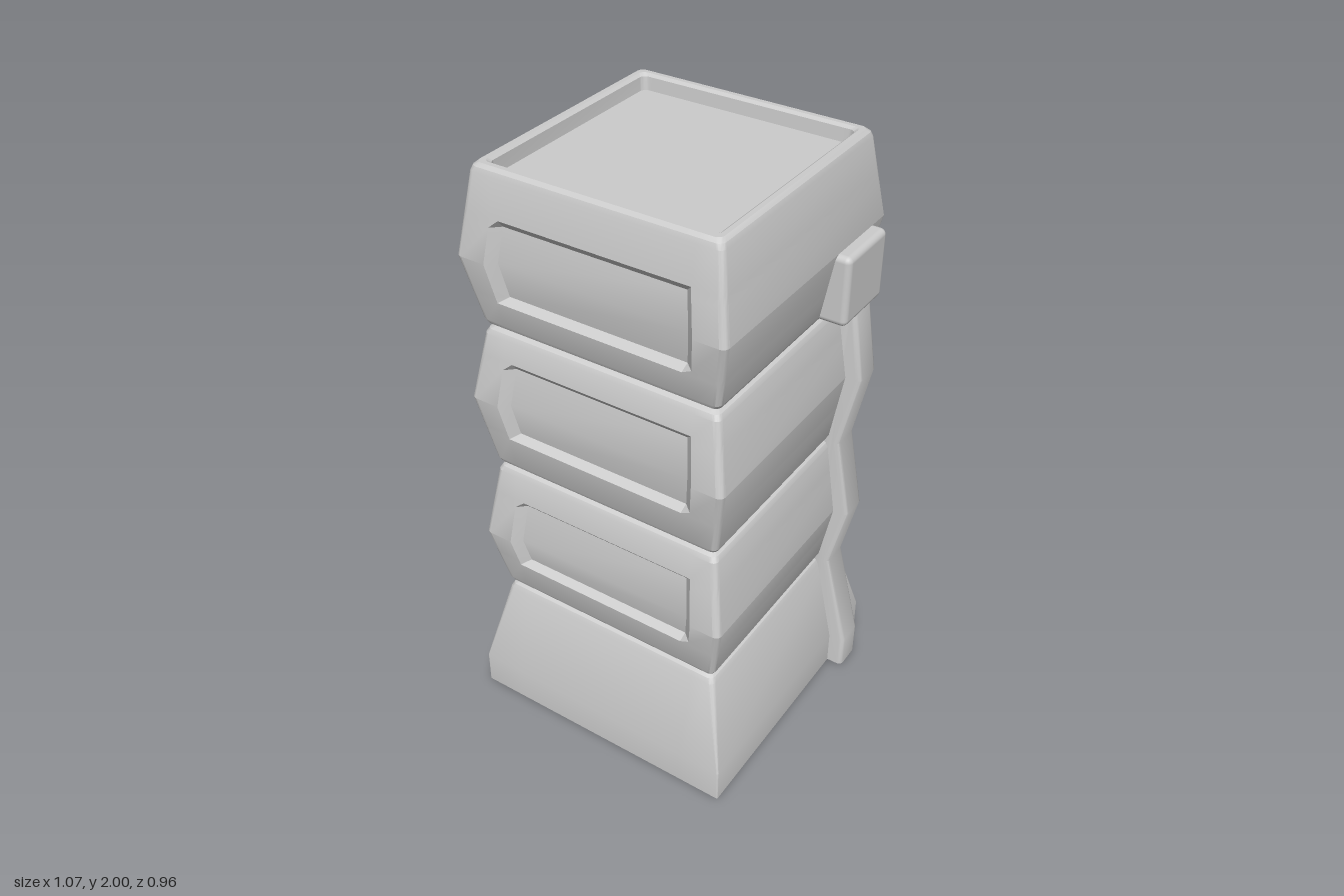
import * as THREE from 'three';
import { RoundedBoxGeometry } from 'three/addons/geometries/RoundedBoxGeometry.js';
import { toCreasedNormals } from 'three/addons/utils/BufferGeometryUtils.js';

const material = new THREE.MeshStandardMaterial({ color: 0xcccccc });

function addMesh(parent, name, geometry) {
  const mesh = new THREE.Mesh(geometry, material);
  mesh.name = name;
  parent.add(mesh);
  return mesh;
}

// One square ring with rounded corners; the front and back edges can be sunk between +-xo
function squareRing({ y, w, r = 0.02, xo = 0.33, depth = 0 }) {
  const points = [];
  const steps = 5;
  const corner = (sx, sz, start) => {
    for (let i = 0; i <= steps; i++) {
      const a = start + (i / steps) * Math.PI / 2;
      points.push([sx * (w - r) + r * Math.cos(a), y, sz * (w - r) - r * Math.sin(a)]);
    }
  };
  const face = (s) => {
    const xi = xo - 0.03;
    points.push([-s * xo, y, s * w], [-s * xi, y, s * (w - depth)],
      [s * xi, y, s * (w - depth)], [s * xo, y, s * w]);
  };
  face(1);
  corner(1, 1, -Math.PI / 2);
  corner(1, -1, 0);
  face(-1);
  corner(-1, -1, Math.PI / 2);
  corner(-1, 1, Math.PI);
  return points;
}

// Closed skin over a stack of rings
function loft(rows) {
  const rings = rows.map(squareRing);
  const n = rings[0].length;
  const last = rows.length - 1;
  const positions = rings.flat(2);
  const index = [];
  for (let i = 0; i < last; i++) {
    for (let j = 0; j < n; j++) {
      const k = (j + 1) % n;
      const a = i * n + j, b = i * n + k;
      index.push(a, b, b + n, a, b + n, a + n);
    }
  }
  const bottom = positions.length / 3;
  positions.push(0, rows[0].y, 0, 0, rows[last].y, 0);
  for (let j = 0; j < n; j++) {
    const k = (j + 1) % n;
    index.push(bottom, k, j, bottom + 1, last * n + j, last * n + k);
  }
  const geometry = new THREE.BufferGeometry();
  geometry.setAttribute('position', new THREE.Float32BufferAttribute(positions, 3));
  geometry.setIndex(index);
  return toCreasedNormals(geometry, 0.35);
}

// Rows of a bulging section with a sunken window in front and back
function sectionRows(y0, mid, y1, windowBottom, windowTop) {
  const wide = 0.45, narrow = 0.41;
  const width = (y) => (y < mid
    ? THREE.MathUtils.mapLinear(y, y0 + 0.025, mid, narrow, wide)
    : THREE.MathUtils.mapLinear(y, mid, y1 - 0.025, wide, narrow));
  const row = (y, xo, depth) => ({ y, w: width(y), xo, depth });
  return [
    { y: y0, w: 0.388 },
    { y: y0 + 0.01, w: 0.402 },
    row(y0 + 0.025, 0.33, 0),
    row(windowBottom, 0.33, 0),
    row(windowBottom + 0.018, 0.333, 0.028),
    row(mid, 0.348, 0.028),
    row(windowTop - 0.028, 0.333, 0.028),
    row(windowTop, 0.33, 0),
    row(y1 - 0.025, 0.33, 0),
    { y: y1 - 0.01, w: 0.402 },
    { y: y1, w: 0.388 },
  ];
}

// Bent strip that follows the side of the tower, for the +x side
function pipeGeometry(topX) {
  const outer = [[0.535, 0], [0.535, 0.12], [0.447, 0.456], [0.5, 0.69], [0.447, 0.965],
    [0.502, 1.23], [topX, 1.46], [topX - 0.01, 1.5]];
  const shape = new THREE.Shape();
  shape.moveTo(0.36, 0);
  outer.forEach(([x, y]) => shape.lineTo(x, y));
  shape.lineTo(0.36, 1.5);
  const bevel = 0.016, width = 0.105;
  const geometry = new THREE.ExtrudeGeometry(shape, {
    depth: width - 2 * bevel, bevelEnabled: true, bevelSize: bevel,
    bevelThickness: bevel, bevelOffset: -bevel, bevelSegments: 3,
  });
  geometry.translate(0, 0, -0.375 + bevel);
  // Keep the foot flush with the ground
  const p = geometry.attributes.position;
  for (let i = 0; i < p.count; i++) if (p.getY(i) < 0.03) p.setY(i, 0);
  return toCreasedNormals(geometry, 0.6);
}

export function createModel() {
  const model = new THREE.Group();
  model.name = 'tower';

  // Flared base
  addMesh(model, 'base', loft([
    { y: 0, w: 0.48, r: 0.004 },
    { y: 0.12, w: 0.48, r: 0.006 },
    { y: 0.43, w: 0.41 },
    { y: 0.446, w: 0.402 },
    { y: 0.457, w: 0.388 },
  ]));

  // Two stacked sections
  addMesh(model, 'lowerSection', loft(sectionRows(0.457, 0.69, 0.966, 0.585, 0.857)));
  addMesh(model, 'middleSection', loft(sectionRows(0.966, 1.23, 1.479, 1.103, 1.385)));

  // Top section, ending in a raised rim around a sunken roof
  addMesh(model, 'topSection', loft([
    ...sectionRows(1.479, 1.72, 2, 1.588, 1.86).slice(0, -2),
    { y: 1.99, w: 0.404 },
    { y: 2, w: 0.393 },
    { y: 2, w: 0.378 },
    { y: 1.992, w: 0.368 },
    { y: 1.95, w: 0.364 },
  ]));

  // Side pipes and the junction boxes they run into
  const sides = [
    { name: 'left', sign: 1, topX: 0.465, boxX: 0.495 },
    { name: 'right', sign: -1, topX: 0.495, boxX: 0.533 },
  ];
  for (const { name, sign, topX, boxX } of sides) {
    const pipe = addMesh(model, name + 'Pipe', pipeGeometry(topX));
    // Half a turn about y plus a z shift mirrors the symmetric strip
    if (sign < 0) {
      pipe.rotation.y = Math.PI;
      pipe.position.z = -0.645;
    }
    const inner = 0.38;
    const box = addMesh(model, name + 'JunctionBox',
      new RoundedBoxGeometry(boxX - inner, 0.23, 0.235, 3, 0.02));
    box.position.set(sign * (boxX + inner) / 2, 1.605, -0.2575);
  }

  return model;
}
